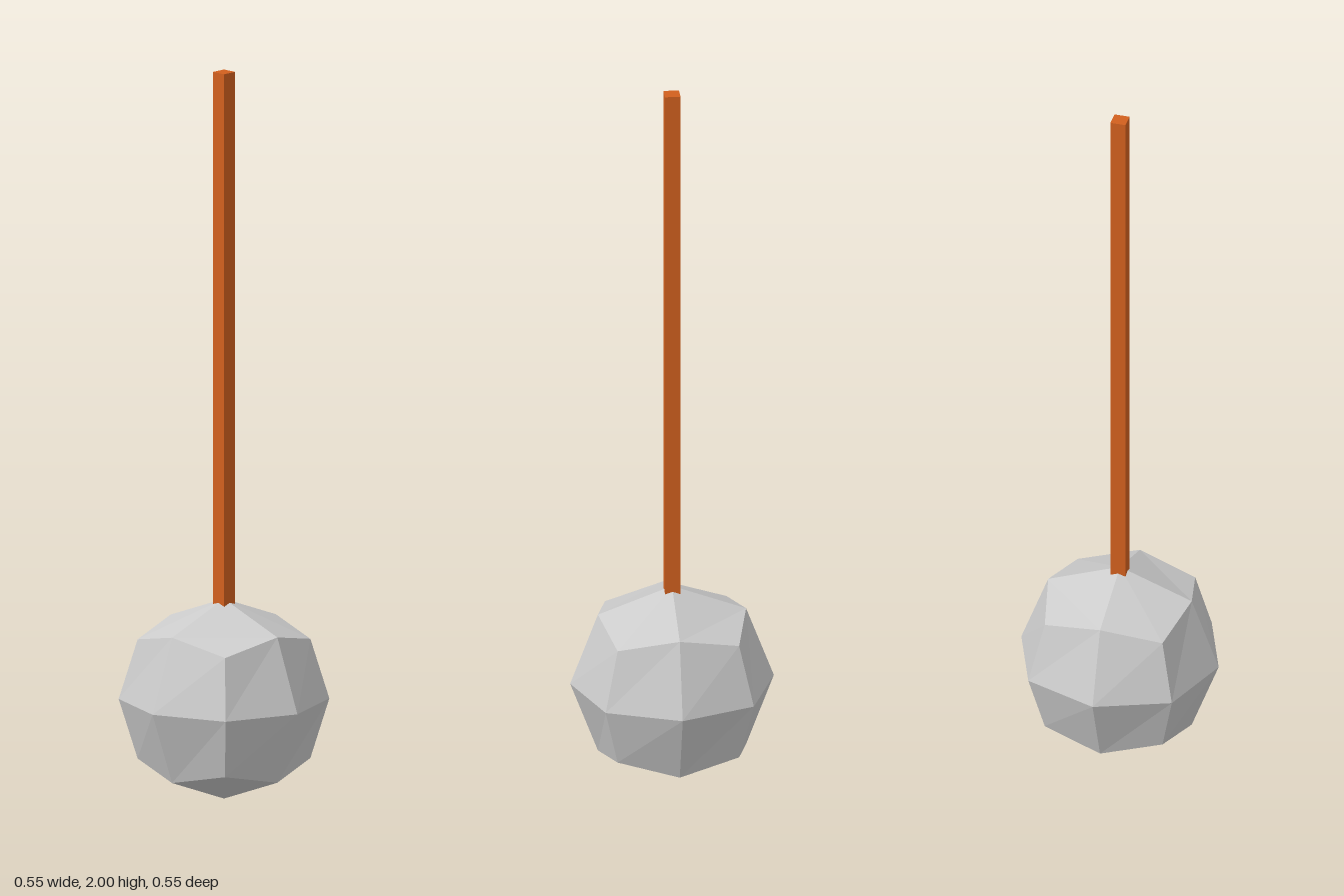
import * as THREE from 'three';

export function createModel() {
  const group = new THREE.Group();

  // Faceted ball: a box of 2 x 2 panels per side, each vertex pushed outwards
  // by its kind: face centre, edge middle or corner.
  const reach = [0, 0.275, 0.2, 0.164];
  const ballGeometry = new THREE.BoxGeometry(2, 2, 2, 2, 2, 2);
  const position = ballGeometry.attributes.position;
  const v = new THREE.Vector3();
  for (let i = 0; i < position.count; i++) {
    v.fromBufferAttribute(position, i);
    const kind = Math.round(Math.abs(v.x) + Math.abs(v.y) + Math.abs(v.z));
    v.multiplyScalar(reach[kind]);
    position.setXYZ(i, v.x, v.y, v.z);
  }
  ballGeometry.computeVertexNormals();
  const ball = new THREE.Mesh(
    ballGeometry,
    new THREE.MeshStandardMaterial({ color: 0xcccccc, flatShading: true })
  );
  ball.name = 'ball';
  ball.position.y = 0.275;
  group.add(ball);

  // Square stick, sunk slightly into the top of the ball
  const bottom = 0.53;
  const top = 2;
  const stick = new THREE.Mesh(
    new THREE.BoxGeometry(0.042, top - bottom, 0.042),
    new THREE.MeshStandardMaterial({ color: 0xd2601e, flatShading: true })
  );
  stick.name = 'stick';
  stick.position.y = (top + bottom) / 2;
  group.add(stick);

  return group;
}
